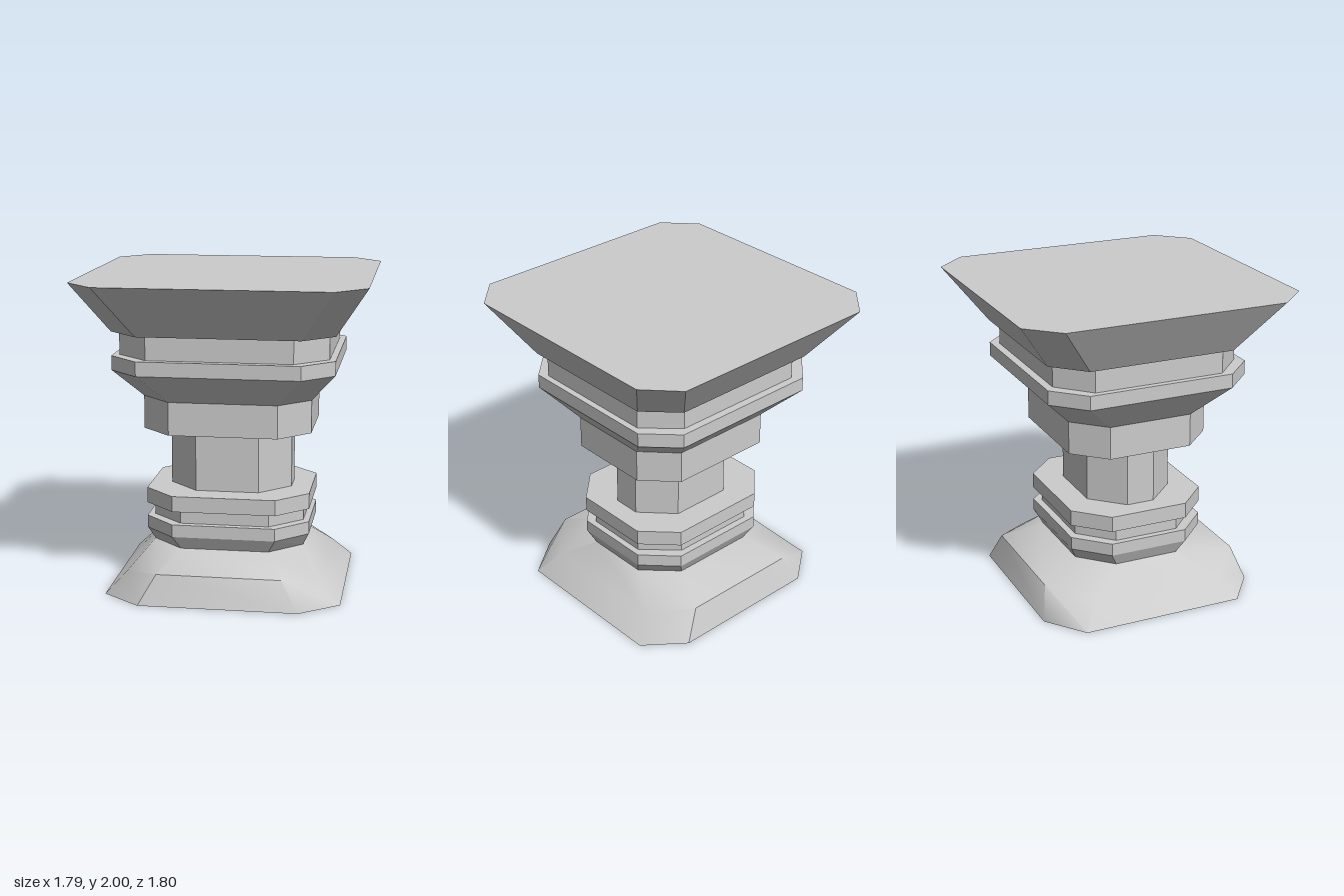
import * as THREE from 'three';
import { toCreasedNormals } from 'three/addons/utils/BufferGeometryUtils.js';

// Chamfered rectangle: half width x, front flat half fx, half depth z, side flat half fz.
// The side corners may sit at a different height from the front corners.
function ring([x, fx, z, fz, ySide, yFront = ySide]) {
  return [
    [x, ySide, -fz], [x, ySide, fz], [fx, yFront, z], [-fx, yFront, z],
    [-x, ySide, fz], [-x, ySide, -fz], [-fx, yFront, -z], [fx, yFront, -z],
  ];
}

// Closed loft through a stack of rings, lowest first
function loft(sections, crease) {
  const rings = sections.map(ring);
  const pos = [];
  const tri = (a, b, c) => pos.push(...a, ...b, ...c);
  for (let k = 0; k < rings.length - 1; k++) {
    const lo = rings[k], hi = rings[k + 1];
    for (let i = 0; i < 8; i++) {
      const j = (i + 1) % 8;
      tri(lo[i], hi[i], hi[j]);
      tri(lo[i], hi[j], lo[j]);
    }
  }
  const bottom = rings[0], top = rings[rings.length - 1];
  for (let i = 1; i < 7; i++) {
    tri(bottom[0], bottom[i], bottom[i + 1]);
    tri(top[0], top[i + 1], top[i]);
  }
  const geo = new THREE.BufferGeometry();
  geo.setAttribute('position', new THREE.Float32BufferAttribute(pos, 3));
  geo.computeVertexNormals();
  return crease ? toCreasedNormals(geo, crease) : geo;
}

export function createModel() {
  const group = new THREE.Group();
  group.name = 'pedestal';
  const stone = new THREE.MeshStandardMaterial({ color: 0xcccccc });
  stone.name = 'grey stone';

  // Plan sizes shared by several courses
  const base = [0.52, 0.325, 0.45, 0.255];
  const groove = [0.48, 0.28, 0.405, 0.21];
  const shaft = [0.39, 0.2, 0.285, 0.09];
  const block = [0.53, 0.34, 0.465, 0.27];
  const ledge = [0.69, 0.5, 0.66, 0.47];
  const neck = [0.65, 0.45, 0.61, 0.42];

  const add = (name, sections, crease) => {
    const mesh = new THREE.Mesh(loft(sections, crease), stone);
    mesh.name = name;
    group.add(mesh);
  };

  // Sloping foot with steep front and back panels
  add('foot', [
    [0.745, 0.5, 0.715, 0.525, 0],
    [0.62, 0.39, 0.66, 0.43, 0.13, 0.19],
    [...groove, 0.285],
  ], 0.75);

  // Lower mouldings
  add('lowerMoulding', [[...groove, 0.285], [...base, 0.37], [...base, 0.45]]);
  add('lowerGroove', [[...groove, 0.45], [...groove, 0.535]]);
  add('lowerBand', [[...base, 0.535], [...base, 0.635]]);

  // Shaft and upper mouldings
  add('shaft', [[...shaft, 0.635], [...shaft, 1.03]]);
  add('capitalBlock', [[...block, 1.03], [...block, 1.24]]);
  add('capitalFlare', [[...block, 1.24], [...ledge, 1.435]]);
  add('upperBand', [[...ledge, 1.435], [...ledge, 1.525]]);
  add('upperNeck', [[...neck, 1.525], [...neck, 1.675]]);

  // Wide flaring top slab
  add('topSlab', [[...ledge, 1.675], [0.895, 0.71, 0.9, 0.705, 2]]);

  return group;
}
